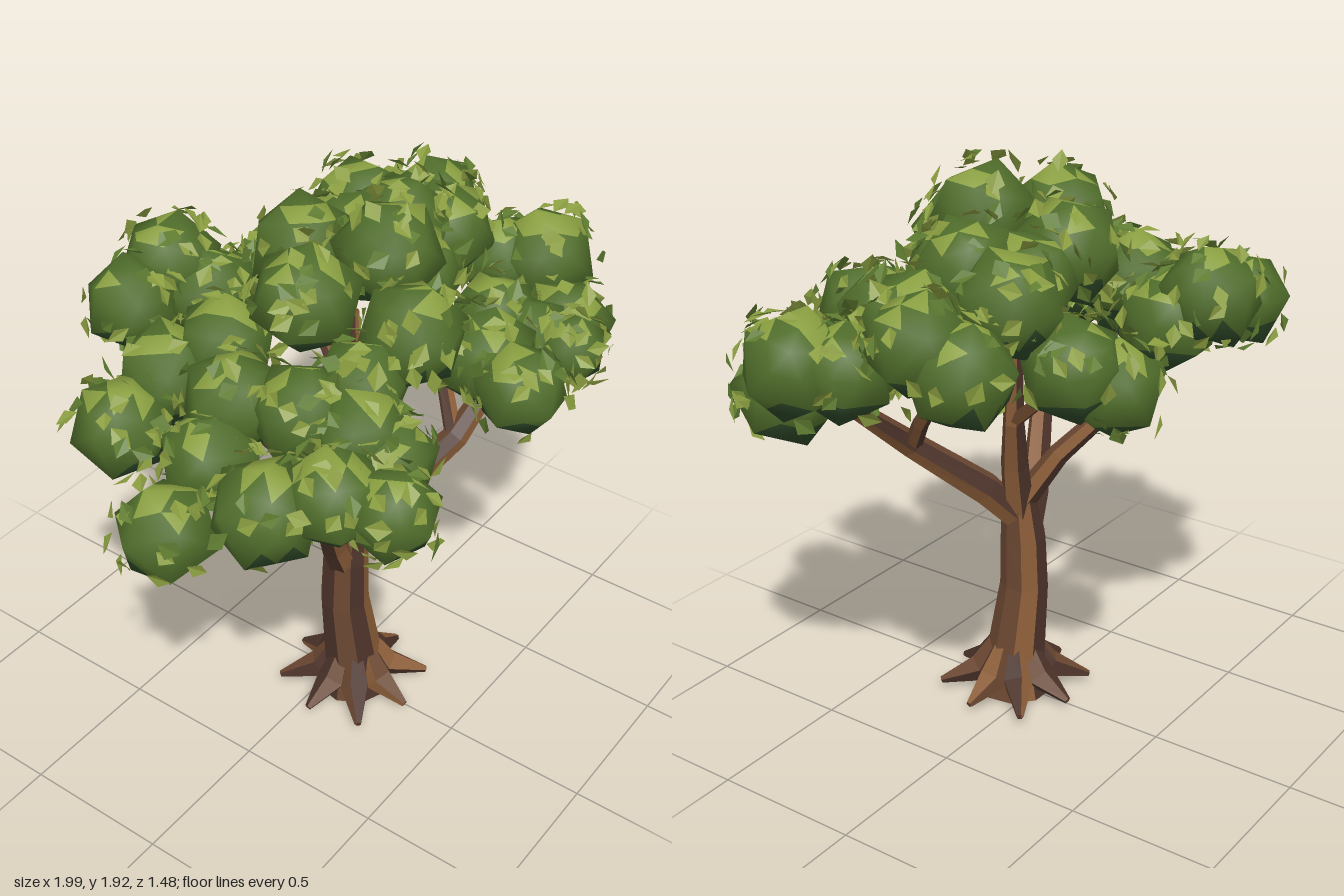
import * as THREE from 'three';

const mat = (name, color, side = THREE.FrontSide) => {
  const m = new THREE.MeshStandardMaterial({ color, side });
  m.name = name;
  return m;
};

// small seeded random generator
let seed = 7;
const rand = () => {
  seed = (seed * 16807) % 2147483647;
  return seed / 2147483647;
};
const V = (x, y, z) => new THREE.Vector3(x, y, z);

// geometry from triangles sorted into one bucket per material
function fromBuckets(buckets) {
  const g = new THREE.BufferGeometry();
  const pos = [];
  buckets.forEach((tris, i) => {
    if (!tris.length) return;
    g.addGroup(pos.length / 3, tris.length, i);
    tris.forEach(p => pos.push(p.x, p.y, p.z));
  });
  g.setAttribute('position', new THREE.Float32BufferAttribute(pos, 3));
  g.computeVertexNormals();
  return g;
}

// faceted limb along stations [x, y, z, radius]; bark tone changes per strip
function limb(stations, sides, tones) {
  const buckets = [[], [], []];
  const pts = stations.map(s => V(s[0], s[1], s[2]));
  const last = pts.length - 1;
  const rings = pts.map((p, j) => {
    const dir = pts[Math.min(j + 1, last)].clone().sub(pts[Math.max(j - 1, 0)]).normalize();
    const q = new THREE.Quaternion().setFromUnitVectors(V(0, 1, 0), dir);
    return Array.from({ length: sides }, (_, i) => {
      const a = (i / sides) * Math.PI * 2 + 0.2;
      return V(Math.cos(a), 0, Math.sin(a)).multiplyScalar(stations[j][3]).applyQuaternion(q).add(p);
    });
  });
  for (let i = 0; i < sides; i++) {
    const k = (i + 1) % sides;
    const bucket = buckets[tones[i % tones.length]];
    for (let j = 0; j < last; j++) {
      const [a, b, c, d] = [rings[j][i], rings[j][k], rings[j + 1][k], rings[j + 1][i]];
      bucket.push(a, d, c, a, c, b);
    }
    buckets[2].push(pts[0], rings[0][i], rings[0][k]);
    bucket.push(pts[last], rings[last][k], rings[last][i]);
  }
  return fromBuckets(buckets);
}

// leaf clump: smooth-shaded icosahedron, dark underneath, pale patches on top
function clumpGeometry(r) {
  const src = new THREE.IcosahedronGeometry(r, 0);
  src.rotateZ(-0.55 + (rand() - 0.5) * 0.6);
  src.rotateX((rand() - 0.5) * 0.8);
  src.rotateY(rand() * 6.28);
  const p = src.attributes.position;
  const buckets = [[], [], []];
  for (let i = 0; i < p.count; i += 3) {
    const [a, b, c] = [0, 1, 2].map(k => V(0, 0, 0).fromBufferAttribute(p, i + k));
    const [ab, bc, ca] = [[a, b], [b, c], [c, a]].map(([s, t]) => s.clone().lerp(t, 0.5));
    for (const t of [[a, ab, ca], [ab, b, bc], [ca, bc, c], [ab, bc, ca]]) {
      const h = t[0].clone().add(t[1]).add(t[2]).normalize().y;
      const tone = h < -0.5 ? 2 : h > 0.72 && rand() < 0.5 ? 1 : 0;
      buckets[tone].push(...t);
    }
  }
  const g = fromBuckets(buckets);
  g.setAttribute('normal', g.attributes.position.clone());
  g.normalizeNormals();
  return g;
}

// one folded diamond leaf lying near a clump's surface
function addLeaf(buckets, centre, r) {
  const dir = V(rand() * 2 - 1, rand() * 1.7 - 0.6, rand() * 2 - 1).normalize();
  const along = V(rand() - 0.5, rand() - 0.5, rand() - 0.5).cross(dir).normalize();
  along.addScaledVector(dir, rand() * 0.45 - 0.1).normalize();
  const across = V(0, 0, 0).crossVectors(dir, along).normalize();
  const base = centre.clone().addScaledVector(dir, r * (0.88 + rand() * 0.14));
  const L = 0.06 + rand() * 0.03, W = 0.022 + rand() * 0.01;
  const mid = base.clone().addScaledVector(along, L * 0.45).addScaledVector(dir, 0.008);
  const tip = base.clone().addScaledVector(along, L);
  const s1 = mid.clone().addScaledVector(across, W), s2 = mid.clone().addScaledVector(across, -W);
  buckets[rand() < 0.65 ? 1 : 0].push(base, tip, s1, base, s2, tip);
}

export function createModel() {
  const tree = new THREE.Group();
  tree.name = 'tree';
  const bark = [mat('bark', 0x6a4731), mat('lightBark', 0x8c5e39), mat('darkBark', 0x4c332a)];
  const foliage = [mat('leafGreen', 0x506d2b), mat('lightLeafGreen', 0x8aa041), mat('deepLeafGreen', 0x2d4828)];
  const leafMats = [mat('smallLeafGreen', 0x5f7c31, THREE.DoubleSide), mat('smallLeafLight', 0x8a9d40, THREE.DoubleSide)];
  const add = (name, geo, mats, parent = tree) => {
    const m = new THREE.Mesh(geo, mats);
    m.name = name;
    parent.add(m);
    return m;
  };

  // trunk
  add('trunk', limb([[0, 0.015, 0.08, 0.13], [0, 0.12, 0.08, 0.105], [-0.03, 0.42, 0.06, 0.084],
    [-0.025, 0.6, 0.06, 0.078], [0, 0.8, 0.06, 0.055]], 9, [0, 1, 2, 0, 2, 0, 2, 1, 0]), bark);

  // flared roots
  const roots = new THREE.Group();
  roots.name = 'roots';
  tree.add(roots);
  for (let i = 0; i < 8; i++) {
    const a = (i / 8) * Math.PI * 2 + 0.1, R = 0.24 + 0.02 * (i % 2);
    const at = (d, y, r) => [Math.cos(a) * d, y, 0.08 + Math.sin(a) * d, r];
    add('root', limb([at(0.06, 0.2, 0.03), at(0.115, 0.09, 0.054), at(R, 0.045, 0.012)], 5, [0, 2, 1, 0, 2]), bark, roots);
  }

  // branches
  const branches = new THREE.Group();
  branches.name = 'branches';
  tree.add(branches);
  [
    [[0, 0.68, 0.06, 0.05], [0.09, 0.8, 0.13, 0.055], [0.3, 1.0, 0.27, 0.043], [0.52, 1.19, 0.31, 0.03], [0.68, 1.32, 0.33, 0.018]],
    [[0.29, 1.0, 0.27, 0.03], [0.42, 1.15, 0.13, 0.026], [0.55, 1.38, -0.08, 0.016]],
    [[-0.03, 0.55, 0.06, 0.05], [-0.12, 0.72, 0.08, 0.048], [-0.28, 1.0, 0.16, 0.038], [-0.41, 1.2, 0.24, 0.028], [-0.5, 1.34, 0.32, 0.016]],
    [[-0.27, 0.98, 0.15, 0.028], [-0.44, 1.13, 0.06, 0.022], [-0.6, 1.24, 0, 0.014]],
    [[0, 0.74, 0.05, 0.045], [-0.06, 0.92, -0.06, 0.036], [-0.2, 1.18, -0.28, 0.026], [-0.15, 1.42, -0.44, 0.016]],
    [[-0.19, 1.17, -0.26, 0.022], [-0.38, 1.38, -0.3, 0.014]],
    [[0, 0.7, 0.06, 0.055], [0.05, 0.9, 0.04, 0.048], [0.11, 1.08, 0, 0.036], [0.15, 1.45, -0.04, 0.018]],
    [[0.08, 1.0, 0.02, 0.028], [0.03, 1.25, 0.1, 0.022], [0, 1.5, 0.16, 0.014]],
    [[0.11, 1.08, 0, 0.024], [0.2, 1.25, -0.2, 0.02], [0.3, 1.4, -0.4, 0.014]],
  ].forEach(s => add('branch', limb(s, 6, [0, 1, 2, 0, 2, 1]), bark, branches));

  // leaf clumps: x, y, z, radius
  const clumps = [
    [-0.29, 1.5, -0.58, 0.16], [-0.1, 1.56, -0.58, 0.17], [-0.06, 1.47, -0.46, 0.17],
    [0.27, 1.36, -0.48, 0.16], [0.37, 1.43, -0.4, 0.17], [-0.64, 1.34, -0.32, 0.165],
    [-0.43, 1.42, -0.32, 0.17], [-0.29, 1.5, -0.2, 0.165],
    [0.07, 1.67, -0.18, 0.18], [0.26, 1.62, -0.16, 0.17], [0.46, 1.62, -0.24, 0.175],
    [0.7, 1.48, -0.25, 0.175], [0.74, 1.56, -0.13, 0.165], [0.6, 1.55, 0.0, 0.18],
    [0.38, 1.66, -0.03, 0.175], [-0.81, 1.2, -0.01, 0.165], [-0.58, 1.31, -0.03, 0.17],
    [-0.44, 1.43, -0.05, 0.17], [-0.19, 1.69, 0.03, 0.18], [0.1, 1.74, 0.12, 0.18],
    [-0.4, 1.46, 0.17, 0.165], [-0.68, 1.31, 0.25, 0.175], [-0.56, 1.36, 0.4, 0.165],
    [-0.36, 1.44, 0.35, 0.155], [-0.24, 1.51, 0.27, 0.15], [-0.06, 1.61, 0.32, 0.175],
    [-0.5, 1.34, 0.56, 0.15], [-0.34, 1.38, 0.45, 0.14], [0.18, 1.38, 0.56, 0.155],
    [0.24, 1.4, 0.4, 0.175], [0.5, 1.36, 0.27, 0.16], [0.82, 1.44, 0.26, 0.18],
    [0.7, 1.28, 0.42, 0.175], [0.53, 1.33, 0.54, 0.125], [0.52, 1.33, 0.4, 0.14],
    [0.24, 1.6, 0.13, 0.16], [0.75, 1.42, 0.14, 0.16],
  ];
  const canopy = new THREE.Group();
  canopy.name = 'canopy';
  tree.add(canopy);
  const leaves = [[], []];
  clumps.forEach(([x, y, z, r]) => {
    add('leafClump', clumpGeometry(r), foliage, canopy).position.set(x, y, z);
    for (let i = 0; i < 26; i++) addLeaf(leaves, V(x, y, z), r);
  });
  add('looseLeaves', fromBuckets(leaves), leafMats, canopy);
  return tree;
}
